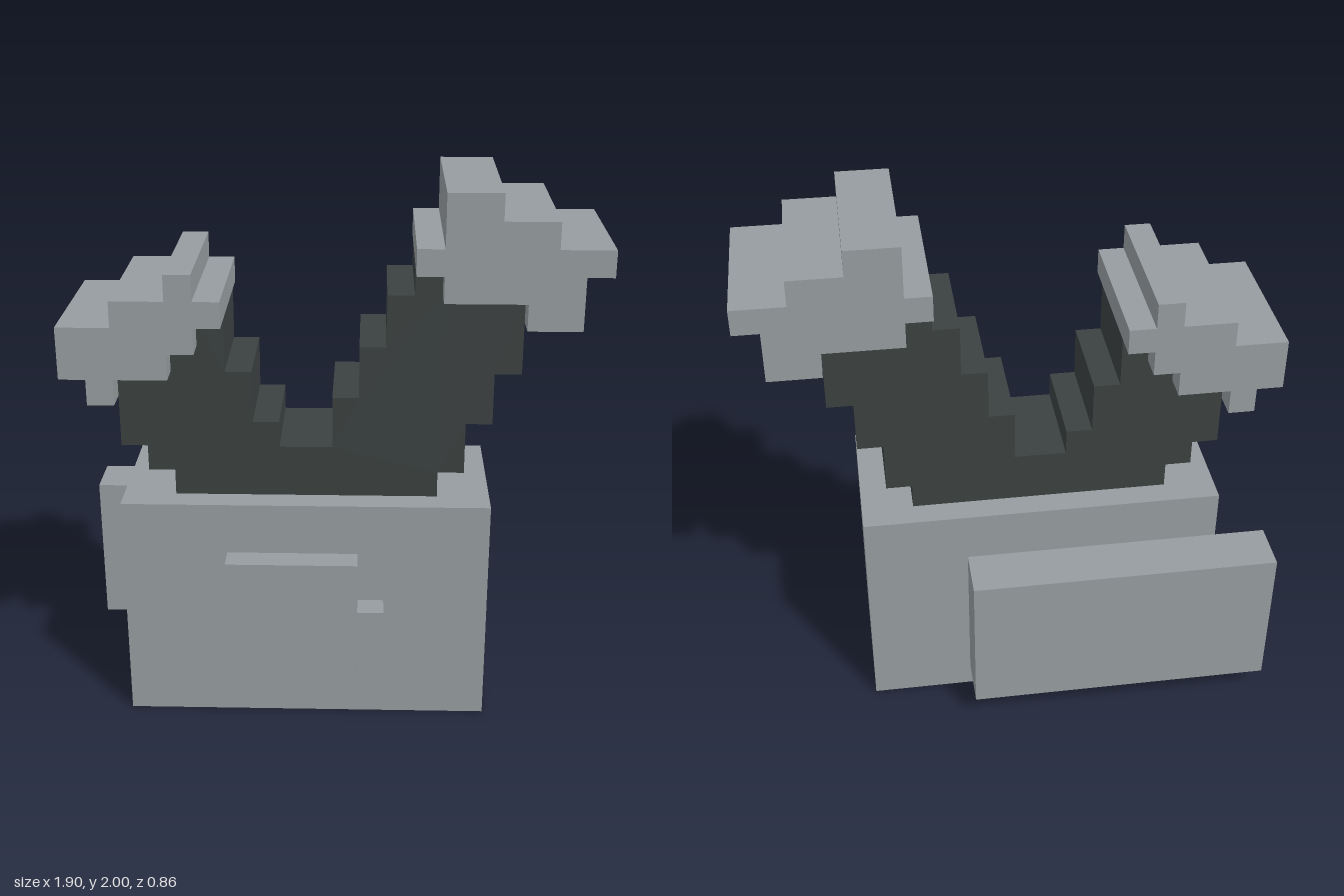
import * as THREE from 'three';

const U = 2 / 21; // one grid step

export function createModel() {
  const group = new THREE.Group();
  const grey = new THREE.MeshStandardMaterial({ color: 0x969c9f });
  grey.name = 'light grey';
  const dark = new THREE.MeshStandardMaterial({ color: 0x3b4140 });
  dark.name = 'charcoal';

  // Box given by its extents in grid steps
  function box(name, [x0, x1], [y0, y1], [z0, z1]) {
    const mesh = new THREE.Mesh(new THREE.BoxGeometry((x1 - x0) * U, (y1 - y0) * U, (z1 - z0) * U), grey);
    mesh.position.set((x0 + x1) / 2 * U, (y0 + y1) / 2 * U, (z0 + z1) / 2 * U);
    mesh.name = name;
    group.add(mesh);
  }

  // Stepped outline extruded in z; each pair moves across to x, then up or down to y
  function stepped(name, x, y, moves, [z0, z1], material) {
    const points = [new THREE.Vector2(x * U, y * U)];
    for (const [nx, ny] of moves) {
      points.push(new THREE.Vector2(nx * U, y * U), new THREE.Vector2(nx * U, ny * U));
      y = ny;
    }
    const geometry = new THREE.ExtrudeGeometry(new THREE.Shape(points), { depth: (z1 - z0) * U, bevelEnabled: false });
    geometry.translate(0, 0, z0 * U);
    const mesh = new THREE.Mesh(geometry, material);
    mesh.name = name;
    group.add(mesh);
  }

  // Body with door, latch and rear plate
  box('body', [-8, 6], [0, 9], [-2.5, 3.5]);
  box('door', [-4, 1], [2, 7], [3.5, 4.5]);
  box('latch', [1, 2], [4, 5], [3.5, 4.5]);
  box('rearPlate', [-10, 2], [1, 7], [-4.5, -2.5]);

  // Forked stem with stepped sides
  stepped('forkedStem', 4, 9, [
    [-6, 10], [-7, 11], [-8, 14], [-6, 15], [-5, 16], [-4, 14], [-3, 12], [-2, 11],
    [0, 13], [1, 15], [2, 17], [3, 18], [4, 17], [7, 14], [6, 12], [5, 10], [4, 9],
  ], [-1.5, 2.5], dark);

  // Wide stepped caps on both branches
  stepped('rightCap', -10, 16, [
    [-8, 17], [-6, 18], [-5, 17], [-4, 16], [-5, 15], [-6, 14], [-8, 13], [-9, 14], [-10, 16],
  ], [-2.5, 3.5], grey);
  stepped('leftCap', 3, 19, [
    [4, 21], [6, 20], [8, 19], [10, 18], [9, 16], [7, 17], [4, 18], [3, 19],
  ], [-2.5, 3.5], grey);

  return group;
}
